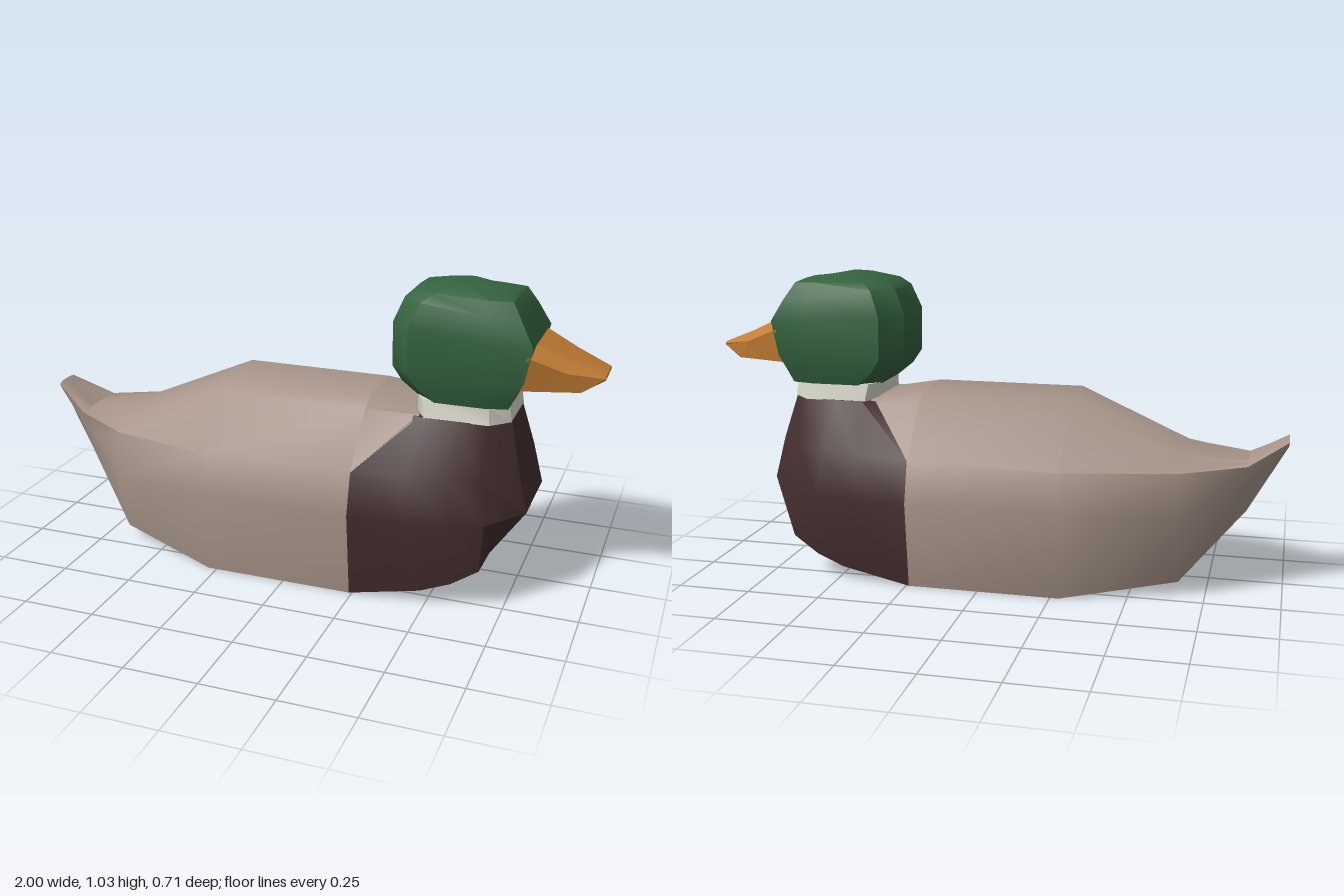
import * as THREE from 'three';
import { toCreasedNormals } from 'three/addons/utils/BufferGeometryUtils.js';

const flat = (name, color) => {
  const m = new THREE.MeshStandardMaterial({ color });
  m.name = name;
  return m;
};

// Skins a series of half rings ([x, y, z] points with z > 0), mirrored over z, with closed ends.
function loft(halfRings, crease = 0.7) {
  const mirror = ([x, y, z]) => [x, y, -z];
  const rings = halfRings.map(h => [...h, ...h.map(mirror).reverse()]);
  const pos = [];
  const quad = (a, b, c, d) => pos.push(...a, ...b, ...c, ...a, ...c, ...d);
  for (let i = 0; i < rings.length - 1; i++) {
    const r = rings[i], s = rings[i + 1], n = r.length;
    for (let j = 0; j < n; j++) {
      const k = (j + 1) % n;
      quad(r[j], s[j], s[k], r[k]);
    }
  }
  const first = halfRings[0], last = halfRings[halfRings.length - 1];
  for (let j = 0; j < first.length - 1; j++) {
    quad(first[j], first[j + 1], mirror(first[j + 1]), mirror(first[j]));
    quad(mirror(last[j]), mirror(last[j + 1]), last[j + 1], last[j]);
  }
  const g = new THREE.BufferGeometry();
  g.setAttribute('position', new THREE.Float32BufferAttribute(pos, 3));
  return toCreasedNormals(g, crease);
}

export function createModel() {
  const duck = new THREE.Group();
  duck.name = 'duck';
  const add = (name, geometry, material) => {
    const mesh = new THREE.Mesh(geometry, material);
    mesh.name = name;
    duck.add(mesh);
  };

  const plumage = flat('beige plumage', 0xa8958a);
  const brown = flat('dark brown breast', 0x432d2e);
  const white = flat('white collar', 0xd6d6ca);
  const green = flat('green head', 0x35633f);
  const orange = flat('orange bill', 0xc27d34);

  // Body, tail tip to neck; points run bottom, flank, shoulder, back edge, back
  const section = (x, ...yz) => yz.map(([y, z]) => [x, y, z]);
  add('body', loft([
    section(-1, [0.495, 0.035], [0.5, 0.05], [0.51, 0.055], [0.518, 0.04], [0.52, 0.02]),
    section(-0.87, [0.27, 0.06], [0.36, 0.095], [0.435, 0.115], [0.438, 0.08], [0.44, 0.04]),
    section(-0.66, [0.045, 0.19], [0.28, 0.255], [0.43, 0.235], [0.46, 0.13], [0.475, 0.08]),
    section(-0.28, [0, 0.32], [0.3, 0.355], [0.43, 0.32], [0.61, 0.17], [0.64, 0.1]),
    section(0.24, [0, 0.32], [0.3, 0.355], [0.44, 0.32], [0.61, 0.17], [0.64, 0.1]),
  ]), plumage);

  // Nape, sloping from the back to the collar
  add('nape', loft([
    section(0.24, [0.44, 0.32], [0.61, 0.17], [0.64, 0.1]),
    section(0.42, [0.6, 0.155], [0.605, 0.15], [0.61, 0.09]),
  ]), plumage);

  // Breast, levels from keel to collar; points run from the front to the back
  add('breast', loft([
    [[0.675, 0.14, 0.14], [0.67, 0.135, 0.275], [0.58, 0.08, 0.29], [0.48, 0.045, 0.305], [0.24, 0, 0.32]],
    [[0.79, 0.305, 0.14], [0.68, 0.3, 0.275], [0.57, 0.3, 0.32], [0.43, 0.3, 0.345], [0.24, 0.3, 0.355]],
    [[0.755, 0.45, 0.13], [0.65, 0.44, 0.235], [0.55, 0.44, 0.275], [0.42, 0.44, 0.3], [0.24, 0.44, 0.32]],
    [[0.717, 0.602, 0.09], [0.655, 0.602, 0.155], [0.55, 0.602, 0.165], [0.45, 0.602, 0.165], [0.4, 0.602, 0.155]],
  ]), brown);

  // Collar
  add('collar', loft([
    [[0.717, 0.6, 0.1], [0.655, 0.6, 0.16], [0.44, 0.6, 0.165], [0.405, 0.6, 0.11]],
    [[0.708, 0.66, 0.1], [0.65, 0.66, 0.148], [0.43, 0.66, 0.15], [0.402, 0.66, 0.1]],
  ]), white);

  // Head, stacked outlines: back x, front x, half width, back y, front y
  const headRing = ([xb, xf, z, yb, yf = yb]) => [
    [xf, yf, z * 0.88],
    [xf - (xf - xb) * 0.25, yf + (yb - yf) * 0.25, z],
    [xb + 0.07, yb, z],
    [xb, yb, z * 0.6],
  ];
  add('head', loft([
    [0.4, 0.71, 0.155, 0.655],
    [0.345, 0.73, 0.168, 0.7],
    [0.312, 0.757, 0.176, 0.75],
    [0.31, 0.782, 0.176, 0.9, 0.87],
    [0.345, 0.74, 0.155, 0.985, 0.945],
    [0.38, 0.705, 0.125, 1.012, 1.002],
    [0.47, 0.69, 0.055, 1.035, 1.012],
  ].map(headRing)), green);

  // Bill, base to tip; points run bottom, side, top
  add('bill', loft([
    [[0.735, 0.725, 0.15], [0.765, 0.84, 0.158], [0.775, 0.872, 0.105]],
    [[0.93, 0.727, 0.1], [0.885, 0.79, 0.118], [0.885, 0.822, 0.08]],
    [[1, 0.765, 0.065], [1, 0.77, 0.068], [1, 0.777, 0.055]],
  ], 0.5), orange);

  return duck;
}
